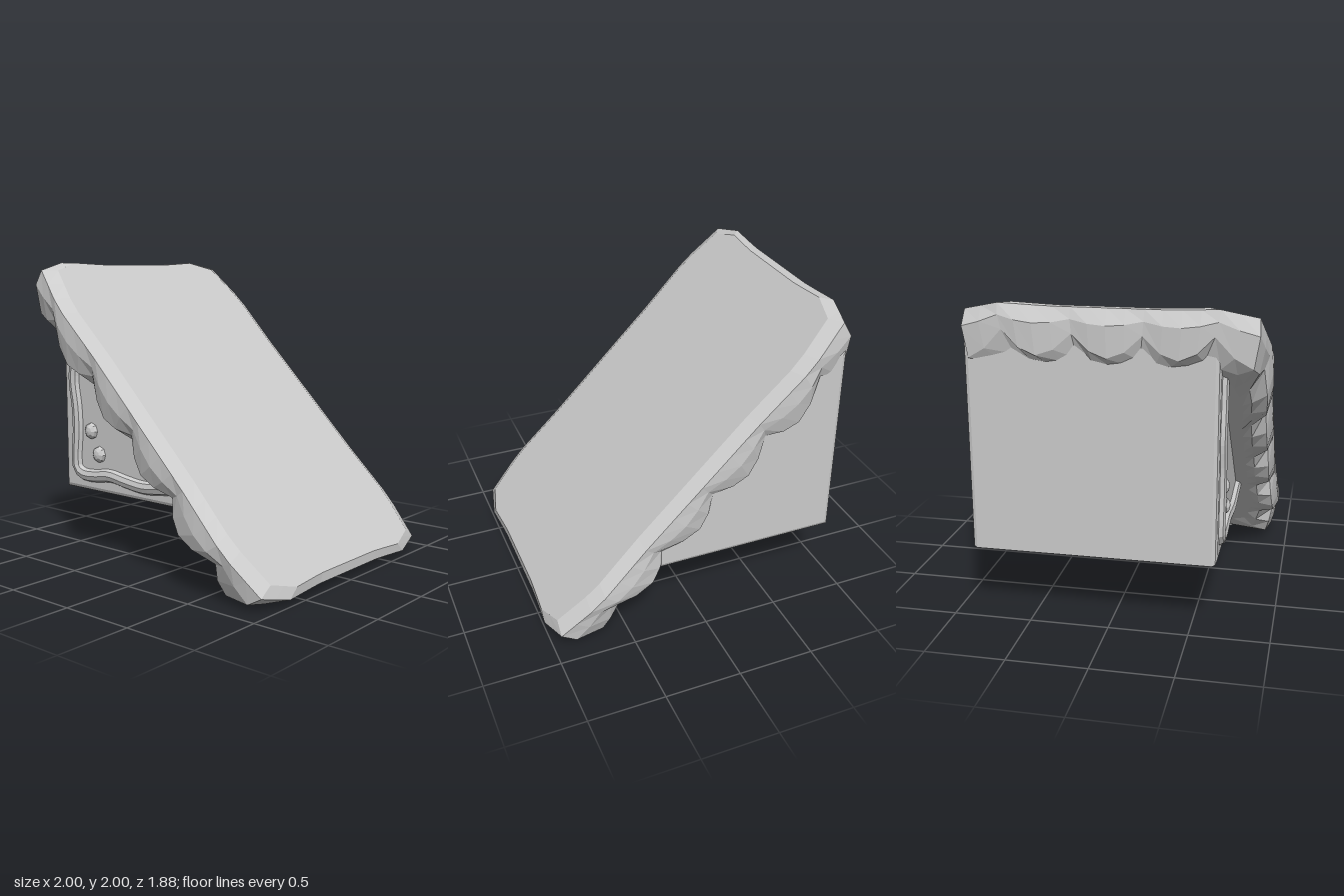
import * as THREE from 'three';

const material = new THREE.MeshStandardMaterial({ color: 0xcccccc, flatShading: true });

function addMesh(group, geometry, name) {
  const mesh = new THREE.Mesh(geometry, material);
  mesh.name = name;
  group.add(mesh);
  return mesh;
}

// Slab size along the slope (u) and across it (z)
const HALF_U = 1.365, HALF_Z = 0.92, CORNER = 0.05, MID_U = -0.707;

// Body front and back faces
const FRONT_Z = 0.66, BACK_Z = -0.88;

// Wavy outline: straight in the middle, swelling near the corners, clipped at them
function wave(t) {
  const a = Math.abs(t);
  if (a < 0.4) return 0;
  if (a < 0.75) return 0.02 * (a - 0.4) / 0.35;
  return 0.02 - (0.02 + CORNER) * (a - 0.75) / 0.25;
}

// Points round the slab, each with its position function and drip amount (0 to 1)
function slabOutline() {
  const points = [];
  const side = (sign, drips, isLong) => {
    const count = drips * 4;
    for (let i = 0; i < count; i++) {
      const t = sign * (-1 + 2 * i / count);
      const drip = Math.abs(Math.cos(Math.PI * i / 4));
      const at = isLong
        ? (iu, iz) => [t * (HALF_U - CORNER - iu), sign * (HALF_Z + wave(t) - iz)]
        : (iu, iz) => [sign * (HALF_U + wave(t) - iu), -t * (HALF_Z - CORNER - iz)];
      points.push({ at, drip });
    }
  };
  side(1, 5, true);
  side(1, 4, false);
  side(-1, 5, true);
  side(-1, 4, false);
  return points;
}

// Slab skinned from rings: [height, inset u, inset z] for a given drip amount
function slabGeometry() {
  const rings = [
    () => [0.778, 0.045, 0.09],
    () => [0.735, 0, 0],
    (d) => [0.67 - 0.04 * d, 0.03, 0.008 - 0.015 * d],
    (d) => [0.61 - 0.11 * d, 0.09 + 0.08 * d, 0.035 - 0.01 * d],
    (d) => [0.535 - 0.035 * d, 0.23, 0.12],
    () => [0.525, 0.32, 0.18],
  ];
  const outline = slabOutline(), n = outline.length;
  const positions = [], index = [];
  for (const ring of rings) {
    for (const { at, drip } of outline) {
      const [h, iu, iz] = ring(drip);
      const [u, z] = at(iu, iz);
      positions.push(u + MID_U, h, z);
    }
  }
  const top = rings.length * n, bottom = top + 1, last = top - n;
  positions.push(MID_U, 0.778, 0, MID_U, 0.525, 0);
  for (let i = 0; i < n; i++) {
    const j = (i + 1) % n;
    for (let r = 0; r < rings.length - 1; r++) {
      const a = r * n, b = a + n;
      index.push(a + i, b + i, b + j, a + i, b + j, a + j);
    }
    index.push(top, i, j, bottom, last + j, last + i);
  }
  const geometry = new THREE.BufferGeometry();
  geometry.setAttribute('position', new THREE.Float32BufferAttribute(positions, 3));
  geometry.setIndex(index);
  const flat = geometry.toNonIndexed();
  flat.computeVertexNormals();
  return flat;
}

export function createModel() {
  const model = new THREE.Group();
  model.name = 'slopedBlock';

  // Triangular body with bevelled edges; its sharp tips end inside the cover
  const profile = new THREE.Shape([
    [-0.92, 0.472], [0.32, 0.472], [0.32, 0.54], [-0.87, 1.73], [-0.92, 1.73],
  ].map(([x, y]) => new THREE.Vector2(x, y)));
  const body = new THREE.ExtrudeGeometry(profile, {
    depth: FRONT_Z - BACK_Z - 0.06, bevelThickness: 0.03, bevelSize: 0.03, bevelSegments: 2,
  });
  body.translate(0, 0, BACK_Z + 0.03);
  addMesh(model, body, 'body');

  // Thick covering with dripping edges, lying along the slope
  addMesh(model, slabGeometry(), 'slopeCover').rotation.z = -Math.PI / 4;

  // Wavy piped trim on the front face
  const path = new THREE.CatmullRomCurve3([
    [-0.81, 1.62], [-0.825, 1.4], [-0.845, 1.2], [-0.82, 1.02], [-0.815, 0.85], [-0.83, 0.68],
    [-0.82, 0.59], [-0.76, 0.555], [-0.65, 0.555], [-0.5, 0.575], [-0.35, 0.555],
    [-0.18, 0.54], [0, 0.56], [0.25, 0.585],
  ].map(([x, y]) => new THREE.Vector3(x, y, 0)));
  const trim = addMesh(model, new THREE.TubeGeometry(path, 44, 0.045, 8), 'trim');
  trim.position.z = FRONT_Z;
  trim.scale.z = 0.8;

  // Two round buttons beside the trim
  for (const [x, y] of [[-0.68, 0.865], [-0.605, 0.71]]) {
    const button = addMesh(model, new THREE.SphereGeometry(0.057, 8, 6), 'button');
    button.position.set(x, y, FRONT_Z);
    button.rotation.x = Math.PI / 2;
    button.scale.y = 0.7;
  }
  return model;
}
